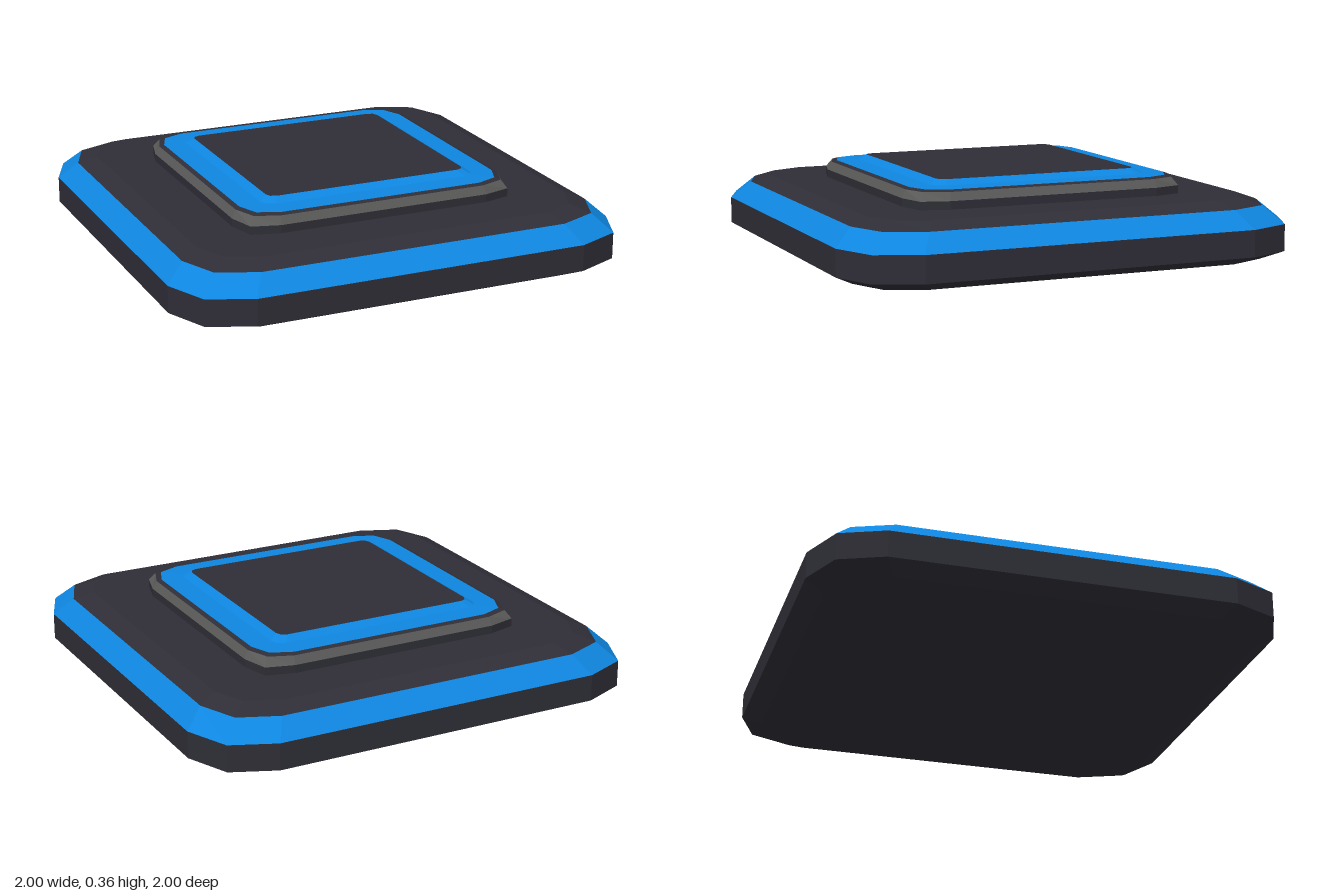
import * as THREE from 'three';

// Each section: y = height, h = half width, c = where the straight side ends, m = corner midpoint
const ringPoints = ({ y, h, c, m }) => {
  const points = [];
  for (let k = 0; k < 4; k++) {
    for (const [a, b] of [[h, c], [m, m], [c, h]]) {
      const [x, z] = [[a, b], [-b, a], [-a, -b], [b, -a]][k];
      points.push([x, y, z]);
    }
  }
  return points;
};

// Faceted band through a stack of sections, optionally closed at the bottom or top
function band(sections, { bottom = false, top = false } = {}) {
  const rings = sections.map(ringPoints);
  const pos = [];
  const tri = (...corners) => corners.forEach((p) => pos.push(...p));
  for (let r = 0; r + 1 < rings.length; r++) {
    const lo = rings[r], hi = rings[r + 1], n = lo.length;
    for (let i = 0; i < n; i++) {
      const j = (i + 1) % n;
      tri(lo[i], hi[i], hi[j]);
      tri(lo[i], hi[j], lo[j]);
    }
  }
  const first = rings[0], last = rings[rings.length - 1];
  for (let i = 1; i + 1 < first.length; i++) {
    if (bottom) tri(first[0], first[i], first[i + 1]);
    if (top) tri(last[0], last[i + 1], last[i]);
  }
  const geometry = new THREE.BufferGeometry();
  geometry.setAttribute('position', new THREE.Float32BufferAttribute(pos, 3));
  geometry.computeVertexNormals();
  return geometry;
}

export function createModel() {
  const material = (name, color) => {
    const mat = new THREE.MeshStandardMaterial({ color, flatShading: true });
    mat.name = name;
    return mat;
  };
  const charcoal = material('charcoal', 0x2f2e37);
  const blue = material('blue', 0x0e86e0);
  const grey = material('grey', 0x5a5a59);

  const group = new THREE.Group();
  group.name = 'squarePad';
  const add = (name, mat, sections, caps) => {
    const mesh = new THREE.Mesh(band(sections, caps), mat);
    mesh.name = name;
    group.add(mesh);
  };

  // Sections from the floor upwards
  const foot = { y: 0, h: 0.915, c: 0.68, m: 0.845 };
  const sideLow = { y: 0.04, h: 1, c: 0.73, m: 0.92 };
  const sideHigh = { ...sideLow, y: 0.155 };
  const shoulder = { y: 0.23, h: 0.92, c: 0.68, m: 0.85 };
  const deck = { y: 0.26, h: 0.84, c: 0.64, m: 0.78 };
  const plinthLow = { y: 0.26, h: 0.623, c: 0.47, m: 0.59 };
  const plinthHigh = { ...plinthLow, y: 0.295 };
  const rimHigh = { y: 0.33, h: 0.605, c: 0.465, m: 0.567 };
  const ledgeOuter = { y: 0.337, h: 0.585, c: 0.455, m: 0.548 };
  const ledgeInner = { y: 0.339, h: 0.487, c: 0.44, m: 0.473 };
  const padEdge = { y: 0.36, h: 0.453, c: 0.418, m: 0.443 };

  // Wide base
  add('baseBody', charcoal, [foot, sideLow, sideHigh], { bottom: true });
  add('baseBevel', blue, [sideHigh, shoulder]);
  add('baseDeck', charcoal, [shoulder, deck], { top: true });

  // Raised plinth with grey trim
  add('plinthSide', charcoal, [plinthLow, plinthHigh]);
  add('plinthTrim', grey, [plinthHigh, rimHigh]);
  add('plinthLip', charcoal, [rimHigh, ledgeOuter]);

  // Blue frame around the centre pad
  add('padFrame', blue, [ledgeOuter, ledgeInner, padEdge]);
  add('centrePad', charcoal, [padEdge], { top: true });

  return group;
}
